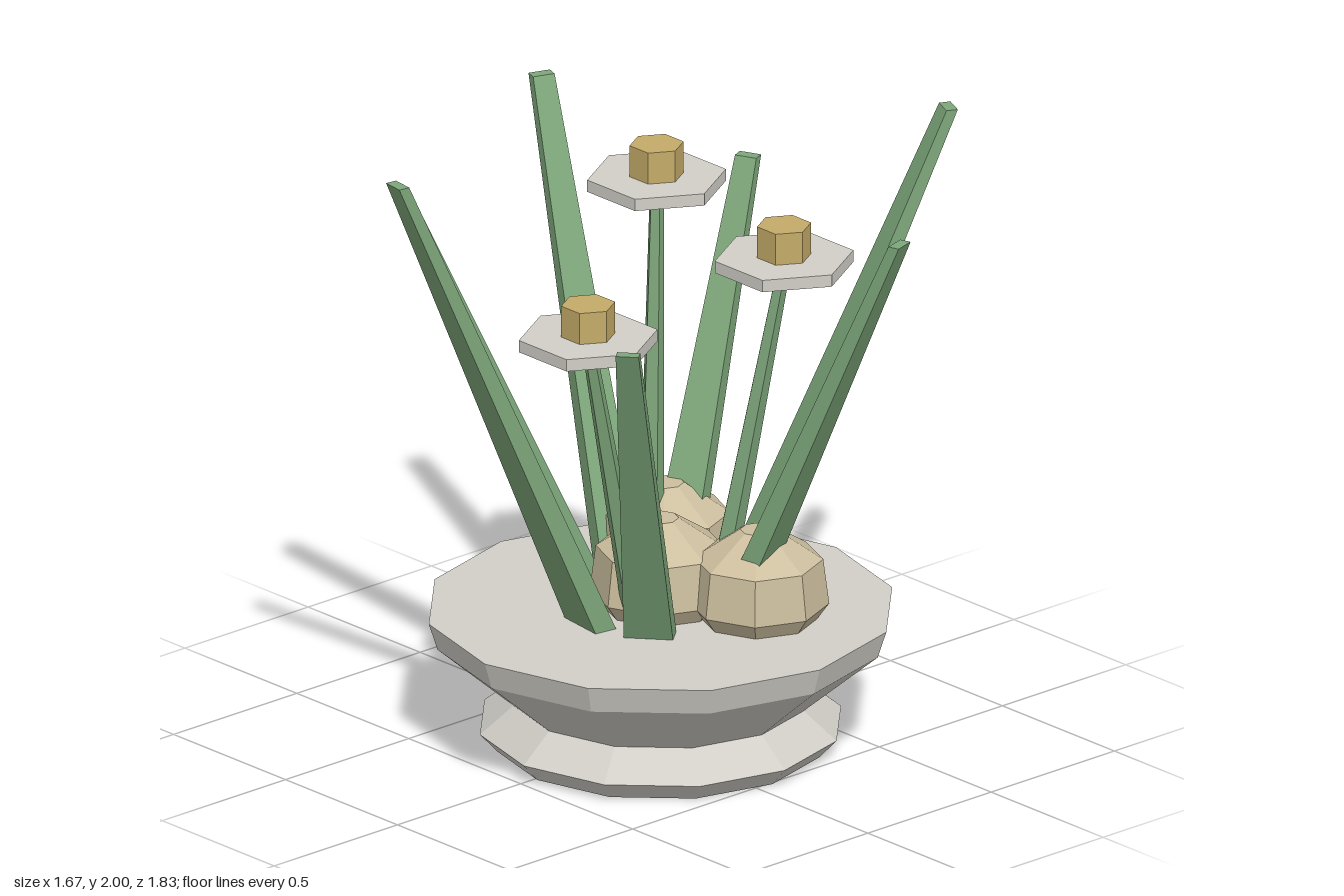
import * as THREE from 'three';

const mat = (name, color) => {
  const m = new THREE.MeshStandardMaterial({ color, flatShading: true });
  m.name = name;
  return m;
};

export function createModel() {
  const group = new THREE.Group();
  const stone = mat('paleStone', 0xd2cfc8);
  const green = mat('leafGreen', 0x7da67a);
  const tan = mat('bulbTan', 0xcdbf9f);
  const gold = mat('flowerGold', 0xc4ab68);

  const add = (name, geo, material, parent = group) => {
    const mesh = new THREE.Mesh(geo, material);
    mesh.name = name;
    parent.add(mesh);
    return mesh;
  };
  const lathe = (pts, sides) =>
    new THREE.LatheGeometry(pts.map(([r, y]) => new THREE.Vector2(r, y)), sides);

  // Leans and tapers a unit-high geometry from base to tip, keeping level ends
  const lean = (geo, [x0, y0, z0], [x1, y1, z1], baseSize, tipSize) => {
    const a = Math.atan2(x1 - x0, z1 - z0);
    const p = geo.attributes.position;
    for (let i = 0; i < p.count; i++) {
      const t = p.getY(i) + 0.5;
      const w = p.getX(i) * THREE.MathUtils.lerp(baseSize[0], tipSize[0], t);
      const d = p.getZ(i) * THREE.MathUtils.lerp(baseSize[1], tipSize[1], t);
      p.setXYZ(i,
        x0 + (x1 - x0) * t + w * Math.cos(a) + d * Math.sin(a),
        y0 + (y1 - y0) * t,
        z0 + (z1 - z0) * t - w * Math.sin(a) + d * Math.cos(a));
    }
    geo.computeVertexNormals();
    return geo;
  };

  // Twelve-sided footed bowl with a closed top
  const bowl = add('bowl', lathe([
    [0, 0], [0.5, 0], [0.555, 0.06], [0.452, 0.145],
    [0.685, 0.345], [0.712, 0.43], [0, 0.43],
  ], 12), stone);
  bowl.position.set(0.01, 0, -0.058);

  // Three bulbs resting on the bowl
  for (const [x, z] of [[0.01, -0.058], [-0.195, -0.265], [0.28, -0.21]]) {
    const bulb = add('bulb', lathe([
      [0, 0.42], [0.17, 0.42], [0.213, 0.48], [0.195, 0.622], [0.055, 0.715], [0, 0.715],
    ], 8), tan);
    bulb.position.set(x, 0, z);
  }

  // Leaves: base x, z; tip x, y, z; base width
  const leaves = [
    [-0.23, -0.12, -0.81, 1.84, -0.32, 0.14],
    [-0.12, -0.22, -0.35, 1.60, -0.74, 0.14],
    [0.11, -0.27, 0.38, 1.93, -0.89, 0.165],
    [0.24, -0.14, 0.80, 1.76, -0.31, 0.15],
    [0.16, 0.12, 0.49, 1.53, 0.51, 0.15],
    [-0.025, 0.19, -0.12, 2.0, 0.89, 0.165],
    [-0.16, 0.06, -0.67, 1.66, 0.37, 0.15],
  ];
  for (const [bx, bz, tx, ty, tz, w] of leaves) {
    add('leaf', lean(new THREE.BoxGeometry(1, 1, 1),
      [bx, 0.42, bz], [tx, ty, tz], [w, 0.075], [0.07, 0.036]), green);
  }

  // Flowers: stem base x, z; head x, underside y, z
  const flowers = [
    [-0.15, -0.16, -0.23, 1.66, -0.26],
    [0.14, -0.16, 0.29, 1.538, -0.305],
    [0.07, 0.09, 0.125, 1.405, 0.34],
  ];
  for (const [bx, bz, x, y, z] of flowers) {
    const flower = new THREE.Group();
    flower.name = 'flower';
    group.add(flower);
    add('stem', lean(new THREE.CylinderGeometry(0.5, 0.5, 1, 5),
      [bx, 0.42, bz], [x, y + 0.01, z], [0.085, 0.085], [0.044, 0.044]), green, flower);
    const hex = (r, h) => new THREE.CylinderGeometry(r, r, h, 6).rotateY(Math.PI / 2);
    add('petals', hex(0.213, 0.038), stone, flower).position.set(x, y + 0.019, z);
    add('flowerCenter', hex(0.083, 0.1), gold, flower).position.set(x, y + 0.088, z);
  }
  return group;
}
